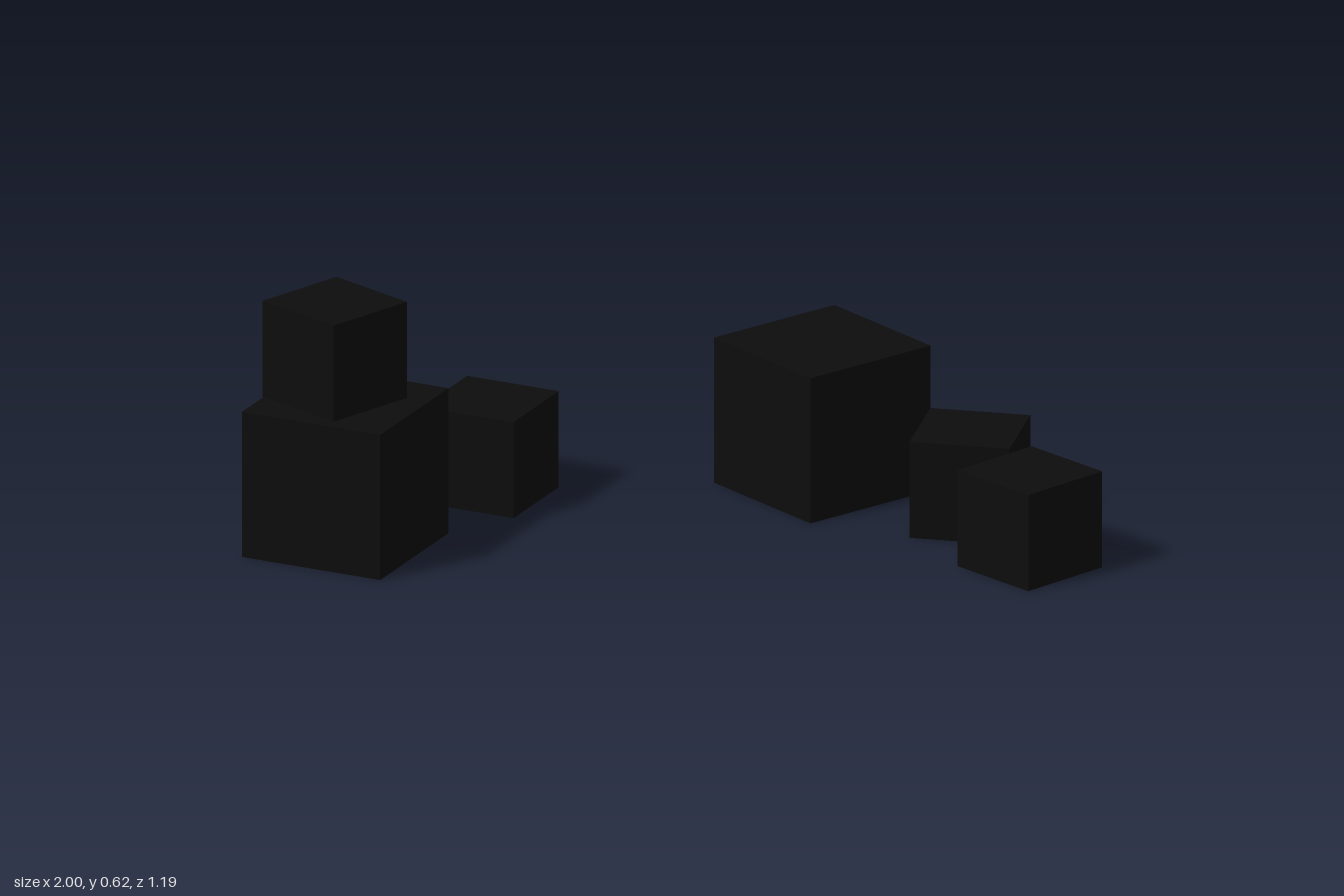
import * as THREE from 'three';

const LARGE = 0.37;
const SMALL = 0.245;

// name, size, x, base y, z, turn in degrees
const BLOCKS = [
  ['leftStackBase', LARGE, -0.788, 0, 0.378, -10],
  ['leftStackTop', SMALL, -0.817, LARGE, 0.367, -30],
  ['leftSmallBlock', SMALL, -0.553, 0, -0.06, -10],
  ['backLargeBlock', LARGE, 0.195, 0, -0.34, -35],
  ['rightInnerBlock', SMALL, 0.61, 0, -0.182, 4.5],
  ['rightOuterBlock', SMALL, 0.832, 0, 0.065, -30],
];

export function createModel() {
  const group = new THREE.Group();
  group.name = 'scatteredBlocks';

  const black = new THREE.MeshStandardMaterial({ color: 0x0d0d0d });
  black.name = 'black';

  // Cubes resting on the ground, one stacked on another
  for (const [name, size, x, y, z, turn] of BLOCKS) {
    const block = new THREE.Mesh(new THREE.BoxGeometry(size, size, size), black);
    block.name = name;
    block.position.set(x, y + size / 2, z);
    block.rotation.y = THREE.MathUtils.degToRad(turn);
    group.add(block);
  }
  return group;
}
